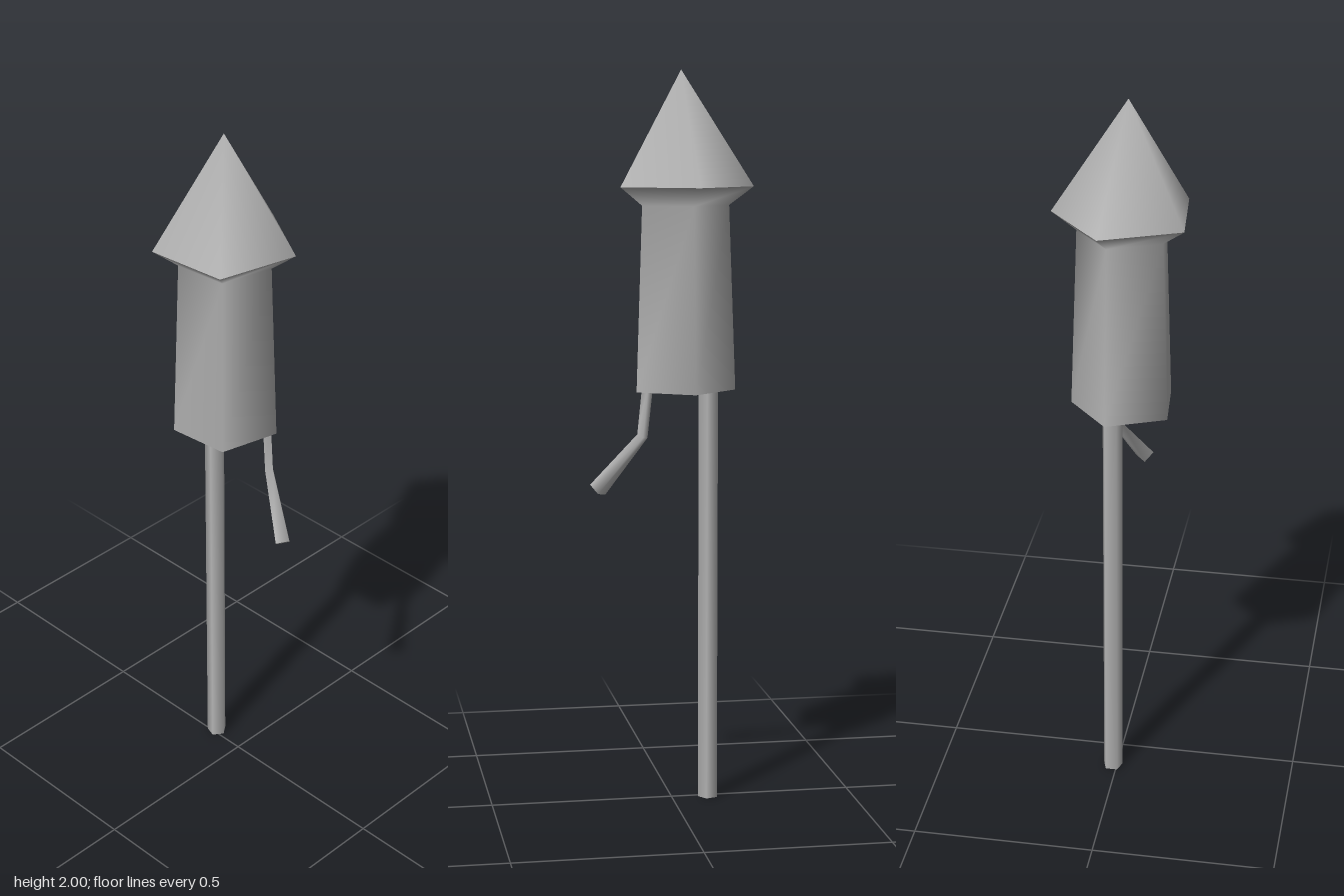
import * as THREE from 'three';
import { mergeVertices } from 'three/addons/utils/BufferGeometryUtils.js';

// Smooth skin through rings of points listed from bottom to top
function loft(rings) {
  const n = rings[0].length, index = [];
  for (let r = 0; r < rings.length - 1; r++) {
    for (let i = 0; i < n; i++) {
      const a = r * n + i, b = r * n + (i + 1) % n;
      index.push(a, b, b + n, a, b + n, a + n);
    }
  }
  let geo = new THREE.BufferGeometry().setFromPoints(rings.flat());
  geo.setIndex(index);
  geo = mergeVertices(geo);
  geo.computeVertexNormals();
  return geo;
}

// Slightly uneven pentagon shared by the body and the cone (x, z)
const rim = [[0.06, 0.147], [0.18, -0.048], [0.03, -0.22], [-0.18, -0.13], [-0.16, 0.095]];
const centre = [-0.01, -0.032];
const pentagon = (y, k) => rim.map(([x, z]) => new THREE.Vector3(
  centre[0] * (1 - k) + x * k, y, centre[1] * (1 - k) + z * k));
const repeat = (p, n) => Array.from({ length: n }, () => p.clone());

// Ring of n points around a centre, square to a direction
function ringAcross(c, dir, radius, n) {
  const q = new THREE.Quaternion().setFromUnitVectors(new THREE.Vector3(0, 1, 0), dir.clone().normalize());
  return Array.from({ length: n }, (_, i) => {
    const a = i / n * Math.PI * 2;
    return new THREE.Vector3(Math.sin(a) * radius, 0, Math.cos(a) * radius).applyQuaternion(q).add(c);
  });
}

export function createModel() {
  const group = new THREE.Group();
  const grey = new THREE.MeshStandardMaterial({ color: 0xb4b4b4, side: THREE.DoubleSide });
  grey.name = 'plain grey';
  const add = (name, geo) => {
    const mesh = new THREE.Mesh(geo, grey);
    mesh.name = name;
    group.add(mesh);
    return mesh;
  };

  // Tapered body flaring out under the cone
  add('body', loft([pentagon(1.14, 0.75), pentagon(1.64, 0.655), pentagon(1.69, 1)]));
  add('bodyBase', loft([repeat(new THREE.Vector3(0, 1.14, -0.03), 5), pentagon(1.14, 0.75)]));

  // Pointed nose
  add('noseCone', loft([pentagon(1.69, 1), repeat(new THREE.Vector3(-0.02, 2, -0.03), 5)]));

  // Long guide stick at the back
  const stick = add('stick', new THREE.CylinderGeometry(0.028, 0.028, 1.2, 5));
  stick.position.set(0.012, 0.6, -0.101);

  // Bent fuse widening towards its end
  const end = new THREE.Vector3(-0.03, 0.866, 0.199);
  const bend = new THREE.Vector3(0.033, 1.02, 0.085);
  const top = new THREE.Vector3(0.038, 1.17, 0.07);
  const lower = bend.clone().sub(end), upper = top.clone().sub(bend);
  const endRing = ringAcross(end, lower, 0.026, 4);
  add('fuse', loft([
    endRing,
    ringAcross(bend, lower.clone().normalize().add(upper.clone().normalize()), 0.015, 4),
    ringAcross(top, upper, 0.015, 4),
  ]));
  add('fuseEnd', loft([repeat(end, 4), endRing]));

  return group;
}
